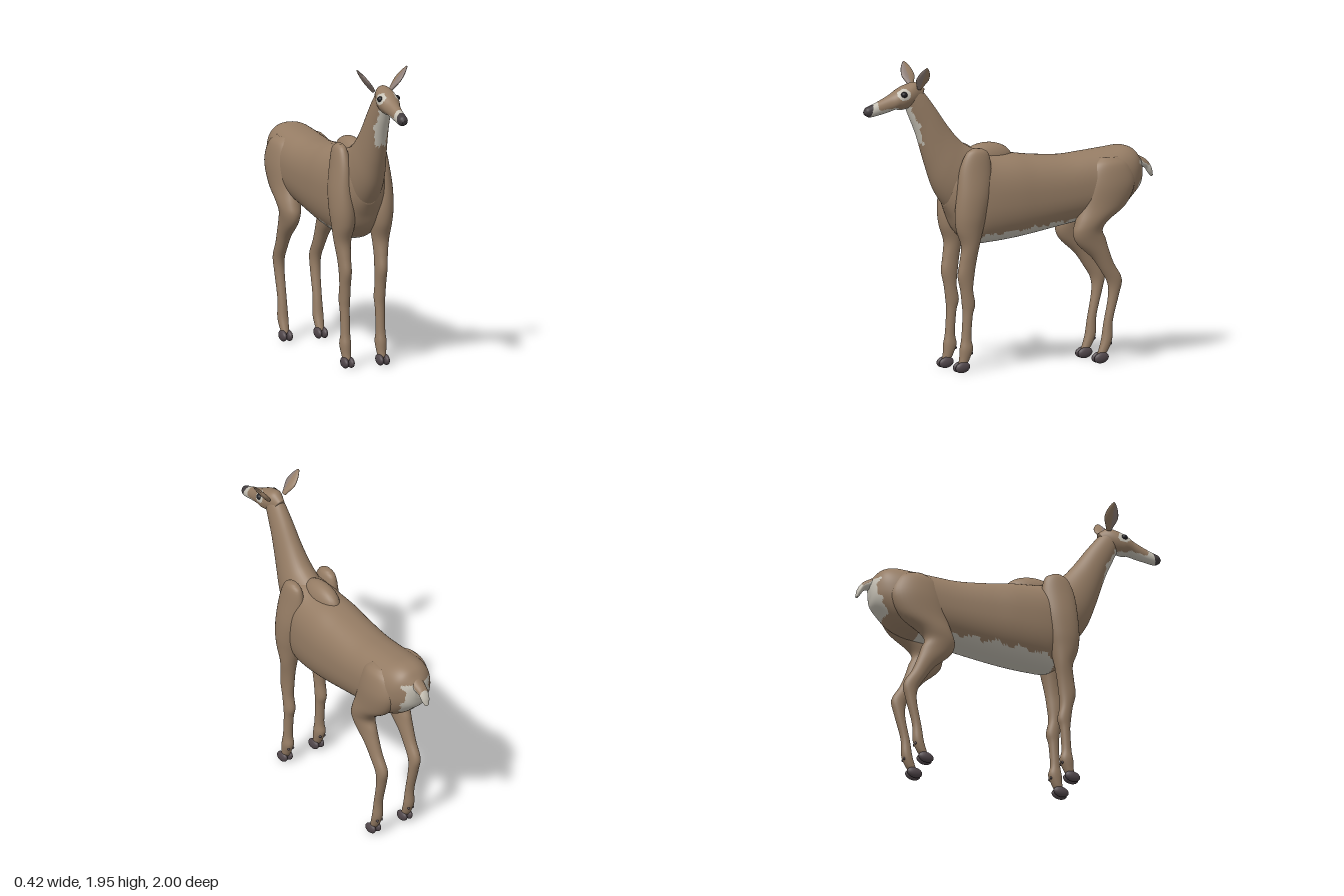
import * as THREE from 'three';

const mat = (name, color) => Object.assign(new THREE.MeshStandardMaterial({ color }), { name });

export function createModel() {
  const brown = mat('brown coat', 0x957c64);
  const white = mat('pale fur', 0xc6c1b5);
  const dark = mat('dark nose', 0x433d3f);
  const hoofMat = mat('hoof horn', 0x51474b);
  const eyeMat = mat('eye black', 0x1d1c20);
  const earMat = mat('inner ear', 0x8d7d76);
  const model = new THREE.Group();

  // Loft of rounded rings. Station: [y, z of first edge, y, z of opposite edge, half width, centre x].
  function loft(name, stations, { side = 1, power = 1, seg = 32, steps = 6, mats = [brown], paint = () => 0 } = {}) {
    const a = new THREE.CatmullRomCurve3(stations.map(s => new THREE.Vector3(s[0], s[1], s[4])), false, 'catmullrom');
    const b = new THREE.CatmullRomCurve3(stations.map(s => new THREE.Vector3(s[2], s[3], (s[5] || 0) * side)), false, 'catmullrom');
    const n = (stations.length - 1) * steps, pos = [];
    const bend = v => Math.sign(v) * Math.abs(v) ** power;
    for (let i = 0; i <= n; i++) {
      const p = a.getPoint(i / n), q = b.getPoint(i / n);
      for (let j = 0; j < seg; j++) {
        const t = j / seg * Math.PI * 2, c = bend(Math.cos(t)), s = bend(Math.sin(t));
        pos.push(q.z + c * p.z, (p.x + q.x) / 2 + s * (p.x - q.x) / 2, (p.y + q.y) / 2 + s * (p.y - q.y) / 2);
      }
    }
    for (const u of [0, 1]) {
      const p = a.getPoint(u), q = b.getPoint(u);
      pos.push(q.z, (p.x + q.x) / 2, (p.y + q.y) / 2);
    }
    const faces = mats.map(() => []);
    const add = (...tri) => {
      const m = k => tri.reduce((sum, v) => sum + pos[v * 3 + k], 0) / 3;
      faces[paint(m(0), m(1), m(2))].push(...tri);
    };
    const end = (n + 1) * seg;
    for (let j = 0; j < seg; j++) {
      const k = (j + 1) % seg;
      add(end, k, j);
      add(end + 1, n * seg + j, n * seg + k);
      for (let i = 0; i < n; i++) {
        const r = i * seg, r2 = r + seg;
        add(r + j, r + k, r2 + k);
        add(r + j, r2 + k, r2 + j);
      }
    }
    const g = new THREE.BufferGeometry();
    g.setAttribute('position', new THREE.Float32BufferAttribute(pos, 3));
    g.setIndex(faces.flat());
    let start = 0;
    faces.forEach((f, i) => { g.addGroup(start, f.length, i); start += f.length; });
    g.computeVertexNormals();
    const mesh = new THREE.Mesh(g, mats);
    mesh.name = name;
    model.add(mesh);
    return mesh;
  }

  function ball(name, material, [x, y, z], [sx, sy, sz], tilt = 0) {
    const mesh = new THREE.Mesh(new THREE.SphereGeometry(1, 24, 16), material);
    mesh.name = name;
    mesh.position.set(x, y, z);
    mesh.scale.set(sx, sy, sz);
    mesh.rotation.x = tilt;
    model.add(mesh);
  }

  const ragged = z => 0.009 * Math.sin(z * 41) + 0.006 * Math.sin(z * 97);

  // Torso, with pale belly and rump
  loft('torso', [
    [1.25, -0.915, 1.16, -0.91, 0.03], [1.29, -0.885, 1.09, -0.89, 0.085],
    [1.335, -0.84, 1.03, -0.83, 0.135], [1.355, -0.77, 0.97, -0.76, 0.165],
    [1.345, -0.66, 0.93, -0.66, 0.185], [1.33, -0.5, 0.9, -0.5, 0.185],
    [1.32, -0.35, 0.875, -0.35, 0.188], [1.335, -0.15, 0.838, -0.15, 0.195],
    [1.355, 0, 0.815, 0, 0.2], [1.365, 0.15, 0.8, 0.15, 0.195],
    [1.385, 0.27, 0.8, 0.26, 0.18], [1.37, 0.36, 0.87, 0.36, 0.15],
    [1.3, 0.43, 0.97, 0.41, 0.11], [1.2, 0.46, 1.05, 0.45, 0.05],
  ], {
    power: 0.86, seg: 64, steps: 8, mats: [brown, white],
    paint: (x, y, z) => (z > -0.6 && z < 0.28 && y < 0.88 - 0.11 * z + ragged(z)) ||
      (z < -0.79 && y > 1.02 && y < 1.26 && Math.abs(x) < 0.095 + ragged(y)) ? 1 : 0,
  });
  ball('withers', brown, [0, 1.33, 0.15], [0.075, 0.1, 0.17]);

  // Neck with pale throat patch
  loft('neck', [
    [1.34, 0.14, 0.98, 0.38, 0.12], [1.42, 0.29, 1.05, 0.45, 0.12],
    [1.47, 0.355, 1.16, 0.52, 0.108], [1.56, 0.43, 1.31, 0.575, 0.088],
    [1.68, 0.515, 1.5, 0.635, 0.071], [1.77, 0.585, 1.62, 0.685, 0.06],
    [1.825, 0.64, 1.68, 0.71, 0.052],
  ], {
    seg: 48, steps: 10, mats: [brown, white],
    paint: (x, y, z) => y > 1.45 + ragged(x * 3) && y < 1.69 && Math.abs(x) < 0.044 + ragged(y) * 0.6 &&
      z > 0.575 + (y - 1.45) * 0.38 ? 1 : 0,
  });

  // Head: pale jaw, muzzle band and eye rings, dark nose
  loft('head', [
    [1.8, 0.585, 1.71, 0.64, 0.035], [1.84, 0.645, 1.68, 0.695, 0.058],
    [1.832, 0.7, 1.67, 0.75, 0.067], [1.808, 0.76, 1.675, 0.785, 0.064],
    [1.772, 0.82, 1.662, 0.83, 0.047], [1.738, 0.89, 1.65, 0.88, 0.037],
    [1.712, 0.95, 1.64, 0.93, 0.034], [1.698, 0.985, 1.637, 0.965, 0.03],
    [1.675, 1, 1.65, 0.992, 0.014],
  ], {
    seg: 48, steps: 10, mats: [brown, white, dark],
    paint: (x, y, z) => {
      if (z > 0.953 + (1.67 - y) * 0.3) return 2;
      if (z > 0.91 || (z > 0.7 && y < 1.686 + ragged(z) * 0.5)) return 1;
      return Math.hypot(z - 0.745, (y - 1.772) * 1.15) < 0.042 && Math.abs(x) > 0.03 ? 1 : 0;
    },
  });

  // Tail with pale tip and underside
  loft('tail', [
    [1.22, -0.85, 1.31, -0.84, 0.05], [1.205, -0.92, 1.272, -0.915, 0.04],
    [1.195, -0.947, 1.245, -0.957, 0.034], [1.165, -0.967, 1.2, -0.987, 0.028],
    [1.14, -0.988, 1.15, -0.999, 0.012],
  ], {
    steps: 8, mats: [brown, white],
    paint: (x, y, z) => z < -0.962 || y < 1.24 + (z + 0.92) * 0.6 ? 1 : 0,
  });

  for (const side of [1, -1]) {
    const label = side > 0 ? 'left' : 'right';

    // Front leg with shoulder blade
    loft(label + 'FrontLeg', [
      [1.415, 0.31, 1.415, 0.25, 0.018, 0.13], [1.38, 0.355, 1.38, 0.2, 0.04, 0.13],
      [1.28, 0.395, 1.27, 0.18, 0.058, 0.13], [1.13, 0.415, 1.13, 0.19, 0.072, 0.136],
      [1, 0.425, 1, 0.215, 0.078, 0.131], [0.9, 0.415, 0.9, 0.24, 0.07, 0.128],
      [0.8, 0.383, 0.8, 0.265, 0.054, 0.13], [0.7, 0.393, 0.7, 0.283, 0.042, 0.126],
      [0.61, 0.405, 0.61, 0.295, 0.038, 0.122], [0.52, 0.386, 0.52, 0.303, 0.035, 0.121],
      [0.43, 0.375, 0.43, 0.288, 0.035, 0.12], [0.36, 0.37, 0.36, 0.305, 0.031, 0.12],
      [0.22, 0.378, 0.22, 0.315, 0.03, 0.12], [0.15, 0.39, 0.15, 0.303, 0.036, 0.121],
      [0.09, 0.393, 0.09, 0.325, 0.031, 0.12], [0.05, 0.4, 0.05, 0.345, 0.025, 0.12],
    ], { side, steps: 5 });

    // Hind leg with haunch
    loft(label + 'HindLeg', [
      [1.3, -0.58, 1.3, -0.7, 0.03, 0.115], [1.25, -0.52, 1.25, -0.77, 0.062, 0.125],
      [1.14, -0.475, 1.13, -0.81, 0.08, 0.13], [1, -0.44, 1, -0.75, 0.078, 0.13],
      [0.9, -0.405, 0.91, -0.63, 0.072, 0.132], [0.83, -0.39, 0.85, -0.588, 0.062, 0.132],
      [0.76, -0.42, 0.79, -0.61, 0.052, 0.131], [0.67, -0.52, 0.72, -0.632, 0.043, 0.13],
      [0.58, -0.585, 0.63, -0.668, 0.037, 0.128], [0.5, -0.63, 0.53, -0.724, 0.035, 0.125],
      [0.41, -0.635, 0.43, -0.706, 0.032, 0.122], [0.25, -0.605, 0.27, -0.665, 0.029, 0.12],
      [0.15, -0.59, 0.155, -0.66, 0.034, 0.12], [0.09, -0.573, 0.09, -0.637, 0.03, 0.12],
      [0.05, -0.56, 0.05, -0.61, 0.024, 0.12],
    ], { side, steps: 5 });

    // Cloven hooves and dewclaws
    for (const [z, heel, where] of [[0.38, 0.307, 'Front'], [-0.58, -0.655, 'Hind']]) {
      for (const dx of [-0.02, 0.02]) {
        ball(label + where + 'Hoof', hoofMat, [side * 0.12 + dx, 0.036, z], [0.021, 0.034, 0.05], 0.2);
        ball(label + where + 'Dewclaw', hoofMat, [side * 0.12 + dx * 0.8, 0.125, heel + 0.008], [0.008, 0.01, 0.008]);
      }
    }

    ball(label + 'Eye', eyeMat, [side * 0.056, 1.772, 0.746], [0.02, 0.019, 0.021]);

    // Leaf-shaped ear, inner face along its front edge
    const ear = loft(label + 'Ear', [
      [0, -0.011, 0, 0.011, 0.014], [0.03, -0.014, 0.03, 0.014, 0.026],
      [0.08, -0.014, 0.08, 0.014, 0.044], [0.13, -0.011, 0.13, 0.011, 0.036],
      [0.17, -0.006, 0.17, 0.006, 0.016], [0.185, -0.002, 0.185, 0.002, 0.003],
    ], { seg: 24, mats: [brown, earMat], paint: x => (x > 0.004 ? 1 : 0) });
    const up = new THREE.Vector3(side * 0.62, 0.78, 0).normalize();
    const front = new THREE.Vector3(0, 0, 1);
    ear.quaternion.setFromRotationMatrix(new THREE.Matrix4().makeBasis(front, up, front.clone().cross(up)));
    ear.position.set(side * 0.057, 1.805, 0.643);
  }
  return model;
}
